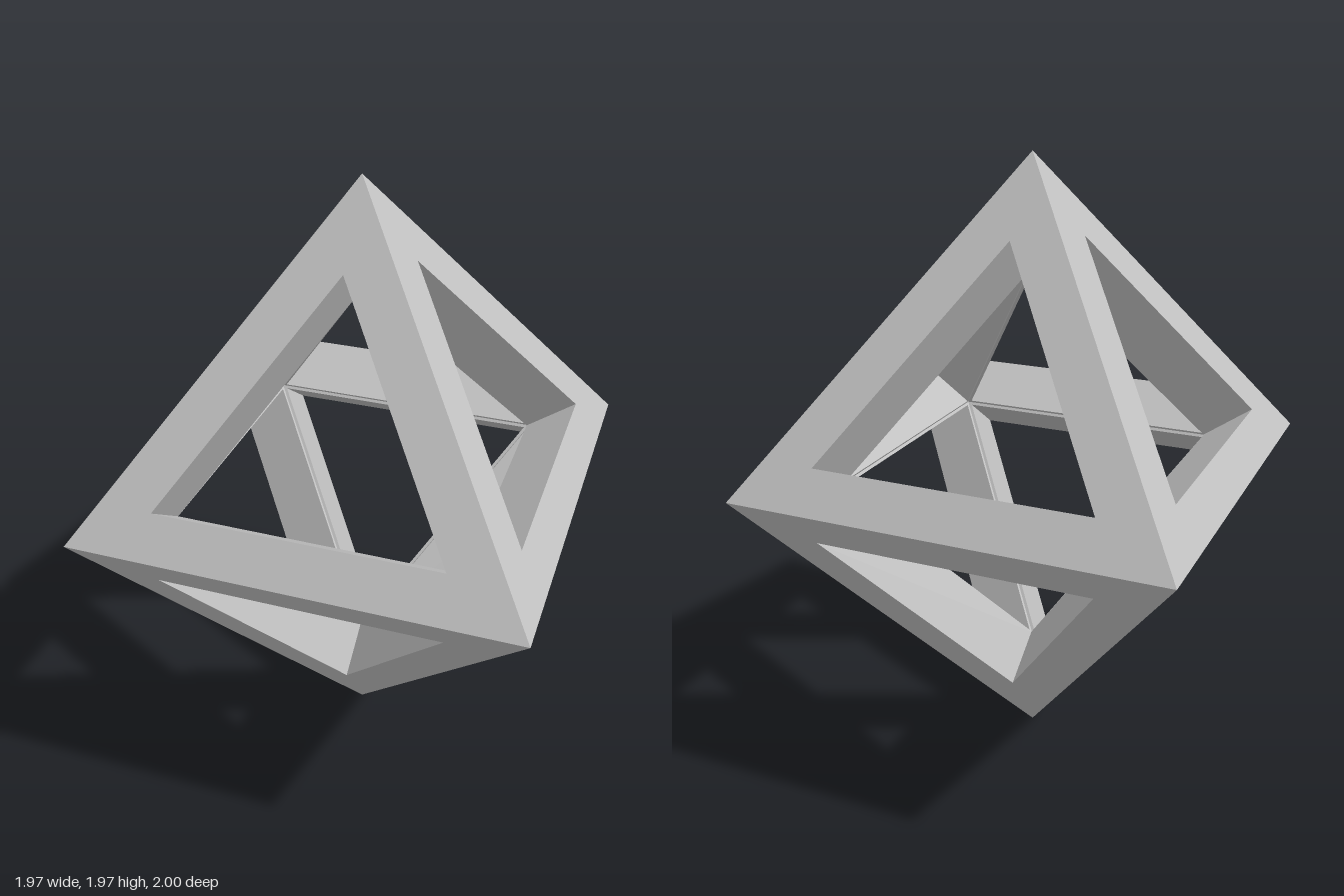
import * as THREE from 'three';

// Half extents of the octahedron along x, y and z
const RADII = [0.987, 0.987, 1.0];

// Three-cornered rings of one panel, as [own axis, other axes] fractions of the
// radius: outer rim, window outside, window inside, inner rim
const RINGS = [
  [1, 0],
  [0.756, 0.122],
  [0.642, 0.008],
  [0.658, 0],
];

// One triangular panel with a straight-walled window, in the octant given by signs
function panelGeometry(signs) {
  const flip = signs[0] * signs[1] * signs[2] < 0;
  const corner = ([own, other], i) =>
    RADII.map((r, axis) => signs[axis] * r * (axis === i ? own : other));
  const positions = [];
  for (let k = 0; k < RINGS.length - 1; k++) {
    for (let i = 0; i < 3; i++) {
      const j = (i + 1) % 3;
      const a = corner(RINGS[k], i);
      const b = corner(RINGS[k], j);
      const c = corner(RINGS[k + 1], j);
      const d = corner(RINGS[k + 1], i);
      const quad = flip ? [a, d, c, a, c, b] : [a, b, c, a, c, d];
      positions.push(...quad.flat());
    }
  }
  const geometry = new THREE.BufferGeometry();
  geometry.setAttribute('position', new THREE.Float32BufferAttribute(positions, 3));
  geometry.computeVertexNormals();
  return geometry;
}

export function createModel() {
  const group = new THREE.Group();
  group.name = 'octahedronFrame';
  const grey = new THREE.MeshStandardMaterial({ color: 0xc0c0c0 });
  grey.name = 'lightGrey';

  // Eight panels, one per octant
  for (const y of [1, -1]) {
    for (const z of [1, -1]) {
      for (const x of [1, -1]) {
        const panel = new THREE.Mesh(panelGeometry([x, y, z]), grey);
        panel.name = `${y > 0 ? 'upper' : 'lower'}${z > 0 ? 'Front' : 'Back'}${x > 0 ? 'Left' : 'Right'}Panel`;
        panel.position.y = RADII[1];
        group.add(panel);
      }
    }
  }
  return group;
}
